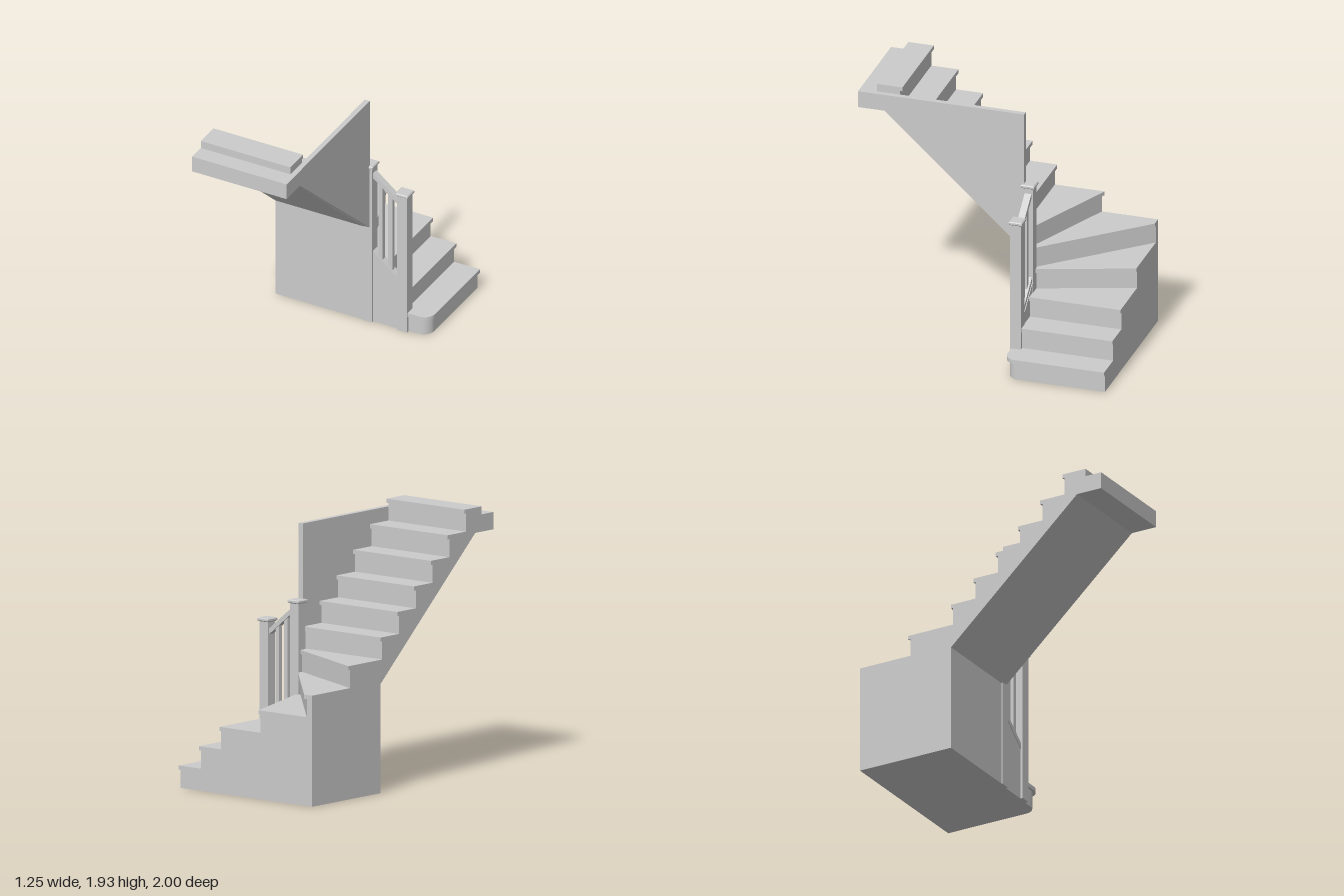
import * as THREE from 'three';

const RISE = 0.1607, NOSE = 0.018, TREAD = 0.03;
const LEFT = -0.625, INNER = 0.1, BACK = -1, FRONT = -0.245, SIDE = -0.31;
const PIVOT = [0.12, -0.28];

const material = new THREE.MeshStandardMaterial({ color: 0xcccccc, flatShading: true });

export function createModel() {
  const model = new THREE.Group();

  function add(name, geometry, parent = model) {
    const mesh = new THREE.Mesh(geometry, material);
    mesh.name = name;
    parent.add(mesh);
    return mesh;
  }
  const shapeOf = (pts) => new THREE.Shape(pts.map(([a, b]) => new THREE.Vector2(a, b)));
  const extrude = (shape, depth) =>
    new THREE.ExtrudeGeometry(shape, { depth, bevelEnabled: false, curveSegments: 10 });

  // Plan outline (x, z) raised from y0 to y1
  const slab = (pts, y0, y1) =>
    extrude(shapeOf(pts.map(([x, z]) => [x, -z])), y1 - y0).rotateX(-Math.PI / 2).translate(0, y0, 0);
  // Side outline (z, y) spanning x0 to x1
  const sideProfile = (pts, x0, x1) =>
    extrude(shapeOf(pts), x1 - x0).rotateY(-Math.PI / 2).translate(x1, 0, 0);
  // Front outline (x, y) spanning z0 to z1
  const frontProfile = (pts, z0, z1) => extrude(shapeOf(pts), z1 - z0).translate(0, 0, z0);

  // Plan of everything behind the leading edge of a lower step, set back by s
  const inner = [[INNER, FRONT], [LEFT, FRONT]];
  const corner = [LEFT, BACK];
  function bullnose(s) {
    const r = 0.085, x = 0.622 - s, z = -0.248 - s, pts = [[x, BACK]];
    for (let i = 0; i <= 10; i++) {
      const a = (i / 10) * Math.PI / 2;
      pts.push([x - r + r * Math.cos(a), z - r + r * Math.sin(a)]);
    }
    return [...pts, [0.4, z], [0.4, SIDE], [INNER, SIDE], ...inner, corner];
  }
  const straight = (x) => (s) =>
    [[x - s, BACK], [x - s, SIDE], [INNER, SIDE], ...inner, corner];
  const winder = (x) => (s) => {
    const k = s * Math.hypot(x - PIVOT[0], BACK - PIVOT[1]) / (PIVOT[1] - BACK);
    return [[x - k, BACK], [PIVOT[0] - k, PIVOT[1]], ...inner, corner];
  };
  const lastWinder = (s) => {
    const k = s * 1.09;
    return [[LEFT, -0.6 + k], [PIVOT[0], PIVOT[1] + k], ...inner];
  };

  // Lower steps and winders, stacked as riser block plus overhanging tread
  const lower = new THREE.Group();
  lower.name = 'lowerSteps';
  model.add(lower);
  [bullnose, straight(0.432), straight(0.242), winder(-0.125), winder(-0.55), lastWinder]
    .forEach((plan, i) => {
      const top = (i + 1) * RISE;
      add('riser' + (i + 1), slab(plan(NOSE), i * RISE, top - TREAD), lower);
      add('tread' + (i + 1), slab(plan(0), top - TREAD, top), lower);
    });

  // Upper flight: stepped top, sloping soffit and landing
  const profile = [[FRONT, 0.79], [0.8, 1.745], [1, 1.745], [1, 1.87], [0.87, 1.87], [0.87, 12 * RISE]];
  for (let n = 12; n >= 7; n--) {
    const z = FRONT + (n - 7) * 0.185, y = n * RISE;
    profile.push([z, y], [z, y - TREAD], [z + NOSE, y - TREAD], [z + NOSE, y - RISE]);
  }
  profile.push([FRONT, 6 * RISE]);
  add('upperFlight', sideProfile(profile, LEFT, INNER));

  // Side wall beside the upper flight
  add('sideWall', sideProfile(
    [[FRONT, 0.795], [0.8, 1.745], [1, 1.745], [1, 1.87], [FRONT, 1.87]], INNER, 0.14));

  // Newel posts with bevelled square caps
  const capProfile = [[0, 0], [0.043, 0], [0.051, 0.007], [0.051, 0.02], [0.044, 0.027], [0, 0.027]]
    .map(([r, y]) => new THREE.Vector2(r * Math.SQRT2, y));
  for (const [name, x, height] of [['upperNewel', 0.12, 1.325], ['lowerNewel', 0.404, 1.163]]) {
    const newel = new THREE.Group();
    newel.name = name;
    newel.position.set(x, 0, -0.279);
    add('post', new THREE.BoxGeometry(0.08, height - 0.02, 0.08).translate(0, (height - 0.02) / 2, 0), newel);
    add('cap', new THREE.LatheGeometry(capProfile, 4, Math.PI / 4).translate(0, height - 0.027, 0), newel);
    model.add(newel);
  }

  // Sloping rails, balusters and the closing panel below them
  const x0 = 0.155, x1 = 0.37, slope = -0.82;
  const along = (y, x) => y + slope * (x - x0);
  const rail = (y, t) =>
    [[x0, y - t], [x1, along(y - t, x1)], [x1, along(y, x1)], [x0, y]];
  add('handrail', frontProfile(rail(1.262, 0.042), -0.305, -0.255));
  add('baseRail', frontProfile(rail(0.605, 0.042), -0.31, -0.252));
  add('stringPanel', frontProfile(
    [[x0, 0], [x1, 0], [x1, along(0.565, x1)], [x0, 0.565]], -0.315, -0.258));
  for (const x of [0.217, 0.296]) {
    const w = 0.017;
    add('baluster', frontProfile([
      [x - w, along(0.585, x - w)], [x + w, along(0.585, x + w)],
      [x + w, along(1.24, x + w)], [x - w, along(1.24, x - w)],
    ], -0.297, -0.263));
  }

  return model;
}
